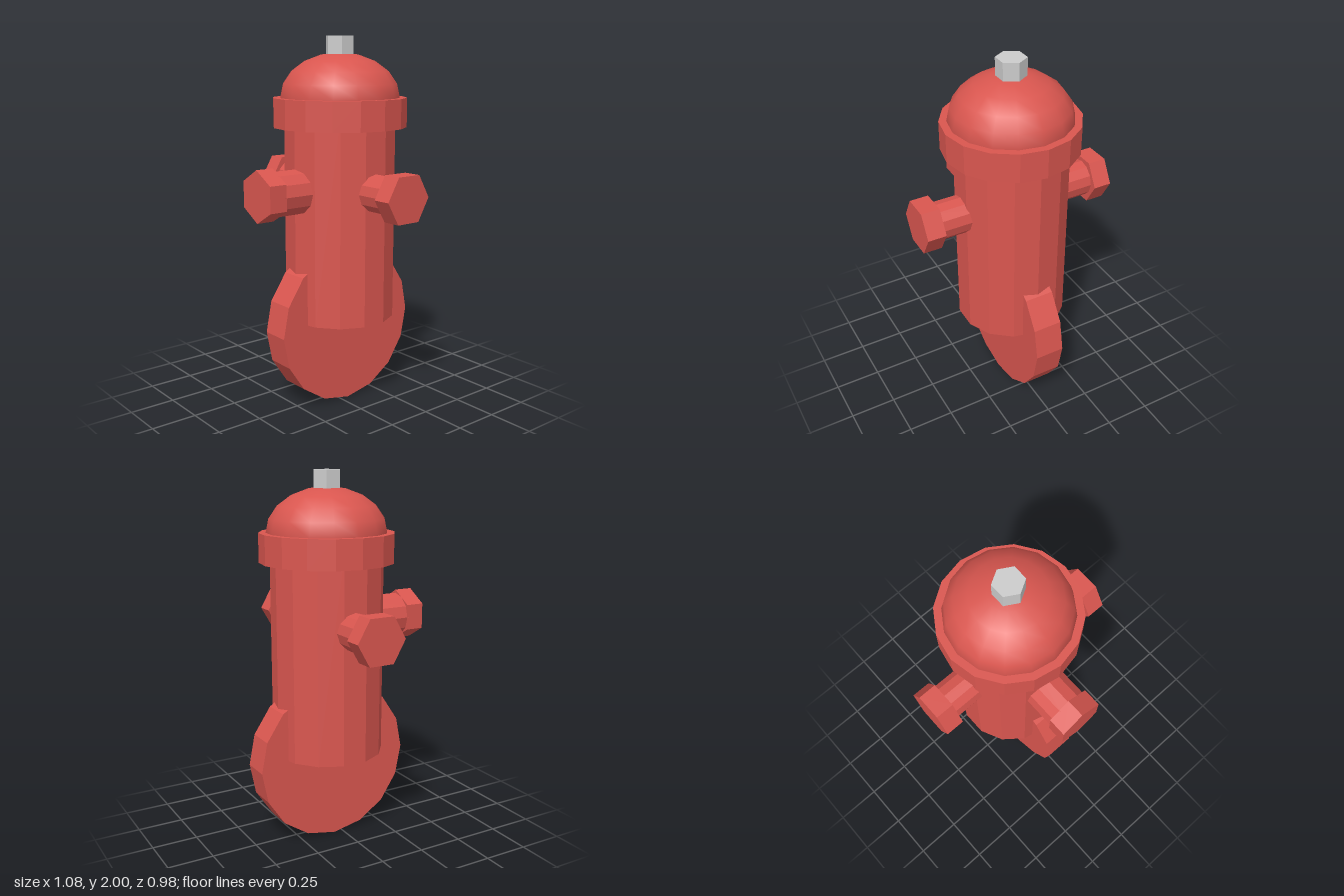
import * as THREE from 'three';

const AXIS_Z = -0.05; // the barrel axis sits slightly behind the origin
const NOZZLE_Y = 1.2;

export function createModel() {
  const model = new THREE.Group();
  model.name = 'fireHydrant';

  const red = new THREE.MeshStandardMaterial({ color: 0xd9564f, flatShading: true });
  const smoothRed = new THREE.MeshStandardMaterial({ color: 0xd9564f });
  const grey = new THREE.MeshStandardMaterial({ color: 0xcccccc, flatShading: true });

  const add = (parent, name, geometry, material) => {
    const mesh = new THREE.Mesh(geometry, material);
    mesh.name = name;
    parent.add(mesh);
    return mesh;
  };

  // Upright prism between two heights
  const prism = (radius, y0, y1, sides) =>
    new THREE.CylinderGeometry(radius, radius, y1 - y0, sides).translate(0, (y0 + y1) / 2, 0);

  const hydrant = new THREE.Group();
  hydrant.name = 'hydrant';
  hydrant.position.z = AXIS_Z;
  model.add(hydrant);

  // Barrel, collar, domed bonnet and operating nut
  add(hydrant, 'barrel', prism(0.301, 0.485, 1.6, 14), red);
  add(hydrant, 'collar', prism(0.359, 1.525, 1.68, 16), red);
  const dome = new THREE.SphereGeometry(0.32, 16, 5, 0, Math.PI * 2, 0, Math.PI / 2);
  dome.scale(1, 0.235 / 0.32, 1).translate(0, 1.68, 0);
  add(hydrant, 'bonnet', dome, smoothRed);
  add(hydrant, 'topNut', prism(0.078, 1.86, 2, 6), grey);

  // Upright disc foot set into the bottom of the barrel
  const foot = new THREE.CylinderGeometry(0.44, 0.44, 0.16, 16);
  foot.rotateZ(Math.PI / 2).translate(0, 0.44, 0);
  add(hydrant, 'discFoot', foot, red);

  // Nozzles: a round pipe with a hexagonal cap, built along +y then turned outward
  const addNozzle = (name, pipeRadius, capRadius, reach, rotX, rotZ) => {
    const nozzle = new THREE.Group();
    nozzle.name = name;
    add(nozzle, 'pipe', prism(pipeRadius, 0.2, reach - 0.09, 12), red);
    add(nozzle, 'hexCap', prism(capRadius, reach - 0.1, reach, 6), red);
    nozzle.rotation.set(rotX, 0, rotZ);
    nozzle.position.y = NOZZLE_Y;
    hydrant.add(nozzle);
  };
  addNozzle('frontNozzle', 0.12, 0.138, 0.54, Math.PI / 2, 0);
  addNozzle('leftNozzle', 0.1, 0.138, 0.54, 0, -Math.PI / 2);
  addNozzle('rightNozzle', 0.1, 0.138, 0.54, 0, Math.PI / 2);

  return model;
}
